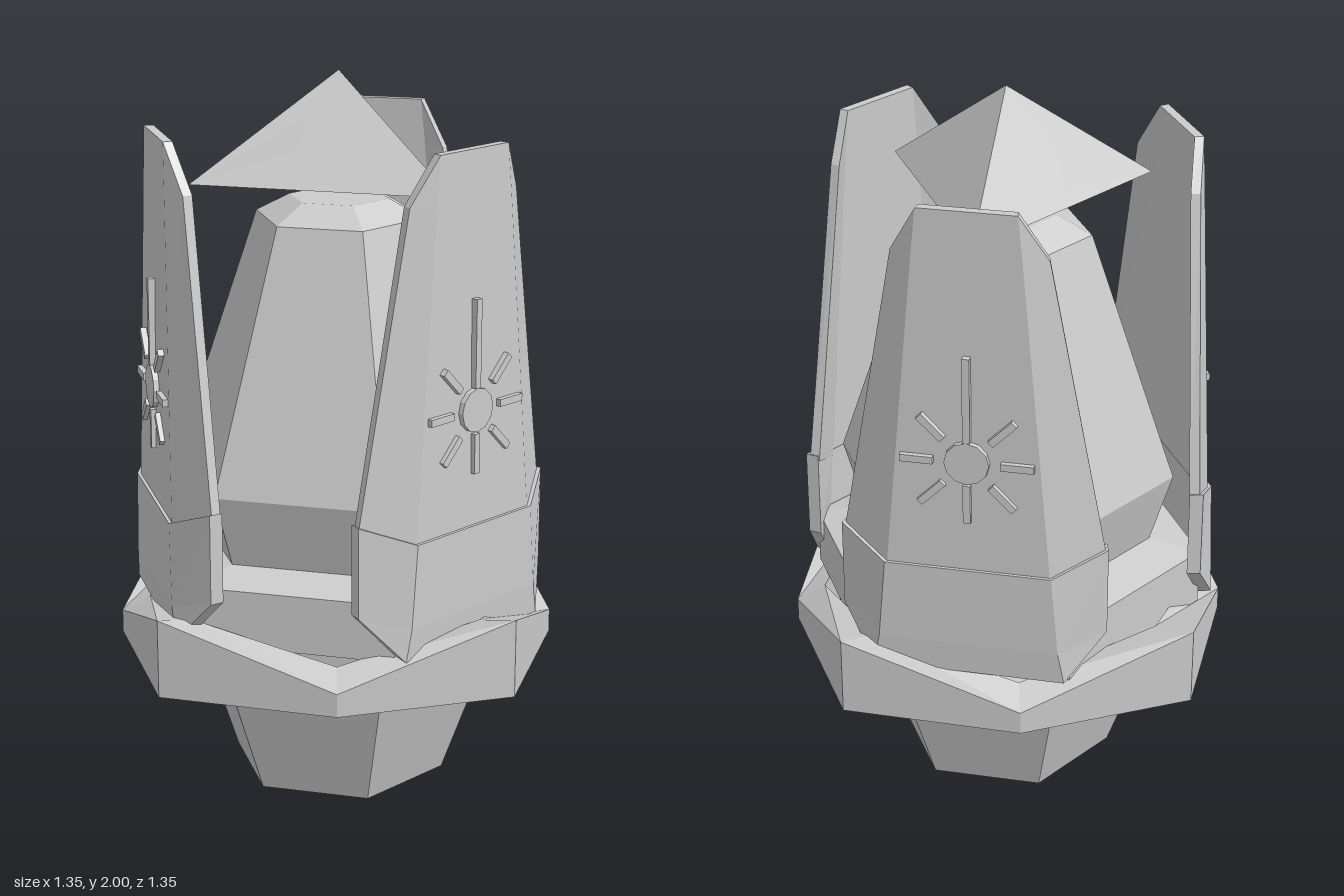
import * as THREE from 'three';

const mat = new THREE.MeshStandardMaterial({ color: 0xcccccc, flatShading: true });
const openMat = new THREE.MeshStandardMaterial({ color: 0xcccccc, flatShading: true, side: THREE.DoubleSide });

function add(parent, name, geometry, material = mat) {
  const mesh = new THREE.Mesh(geometry, material);
  mesh.name = name;
  parent.add(mesh);
  return mesh;
}

// Six-sided turned solid, profile listed bottom to top as [radius, y]
function hexSolid(profile) {
  const pts = profile.map(([r, y]) => new THREE.Vector2(r, y));
  return new THREE.LatheGeometry(pts, 6, Math.PI / 6);
}

// Skin over equal-length closed loops; 'around' joins the last loop to the first
function loft(loops, around) {
  const n = loops[0].length, pos = [];
  const quad = (a, b, c, d) => pos.push(...a, ...b, ...c, ...a, ...c, ...d);
  const spans = around ? loops.length : loops.length - 1;
  for (let i = 0; i < spans; i++) {
    const A = loops[i], B = loops[(i + 1) % loops.length];
    for (let j = 0; j < n; j++) {
      const k = (j + 1) % n;
      quad(A[j], A[k], B[k], B[j]);
    }
  }
  if (!around) {
    const first = loops[0], last = loops[loops.length - 1];
    for (let k = 0; k < n / 2 - 1; k++) {
      quad(last[k], last[k + 1], last[n - 2 - k], last[n - 1 - k]);
      quad(first[n - 1 - k], first[n - 2 - k], first[k + 1], first[k]);
    }
  }
  const g = new THREE.BufferGeometry();
  g.setAttribute('position', new THREE.Float32BufferAttribute(pos, 3));
  g.computeVertexNormals();
  return g;
}

// Folded plate: each row gives the outer edge and the fold on the +x half
function foldedPlate(rows, thickness) {
  const flip = ([x, y, z]) => [-x, y, z];
  const inner = ([x, y, z]) => [x * 0.97, y, z - thickness];
  return loft(rows.map(([edge, fold]) => {
    const outer = [flip(edge), flip(fold), fold, edge];
    return [...outer, ...outer.map(inner).reverse()];
  }), false);
}

// Armour panel facing +z, with thicker cuff and sunburst relief
function makePanel() {
  const panel = new THREE.Group();
  add(panel, 'panelPlate', foldedPlate([
    [[0.355, 0.88, 0.435], [0.222, 0.82, 0.515]],
    [[0.353, 0.9, 0.435], [0.22, 0.84, 0.515]],
    [[0.205, 1.72, 0.465], [0.143, 1.72, 0.502]],
    [[0.13, 1.85, 0.5], [0.13, 1.85, 0.5]],
  ], 0.026));
  add(panel, 'panelCuff', foldedPlate([
    [[0.262, 0.52, 0.52], [0.262, 0.52, 0.52]],
    [[0.363, 0.65, 0.442], [0.245, 0.61, 0.524]],
    [[0.363, 0.9, 0.442], [0.225, 0.84, 0.524]],
  ], 0.036));

  const relief = new THREE.Group();
  relief.name = 'sunburstRelief';
  relief.position.set(0, 1.16, 0.512);
  panel.add(relief);
  add(relief, 'sunDisc', new THREE.CylinderGeometry(0.06, 0.06, 0.026, 12).rotateX(Math.PI / 2));
  for (let i = 0; i < 8; i++) {
    const [start, end] = i === 0 ? [0.06, 0.3] : i === 4 ? [0.065, 0.175] : [0.09, 0.178];
    const ray = add(relief, 'sunRay', new THREE.BoxGeometry(0.02, end - start, 0.026).translate(0, (start + end) / 2, 0));
    ray.rotation.z = (i * Math.PI) / 4;
  }
  return panel;
}

// One sloping side of the three-sided cap with an octagonal pit, facing +z
function makeCapSide() {
  const side = new THREE.Group();
  const depth = 0.207, half = depth * Math.sqrt(3), holeZ = 0.11, holeR = 0.072, floorY = 1.735;
  const slopeY = (z) => 2 - (0.29 * z) / depth;
  const ring = [];
  for (let i = 0; i < 8; i++) {
    const a = ((i + 0.5) * Math.PI) / 4;
    ring.push([Math.cos(a) * holeR, holeZ + Math.sin(a) * holeR]);
  }

  // Sloped face, drawn in plan with z as -y and then raised to the slope
  const shape = new THREE.Shape([[0, 0], [-half, -depth], [half, -depth]].map((p) => new THREE.Vector2(...p)));
  shape.holes.push(new THREE.Path(ring.map(([x, z]) => new THREE.Vector2(x, -z))));
  const face = new THREE.ShapeGeometry(shape).rotateX(-Math.PI / 2);
  const p = face.attributes.position;
  for (let i = 0; i < p.count; i++) p.setY(i, slopeY(p.getZ(i)));
  face.computeVertexNormals();
  add(side, 'capFace', face);

  // Pit wall and floor
  const top = ring.map(([x, z]) => [x, slopeY(z), z]);
  const low = ring.map(([x, z]) => [x, floorY, z]);
  const centre = ring.map(() => [0, floorY, holeZ]);
  const pit = loft([top, low, centre, centre], false);
  add(side, 'capPit', pit, openMat);
  return side;
}

export function createModel() {
  const model = new THREE.Group();
  model.name = 'armouredLantern';

  // Hexagonal foot, neck, tray and tapering core
  const body = new THREE.Group();
  body.name = 'body';
  body.position.x = 0.012;
  model.add(body);
  add(body, 'foot', hexSolid([[0, 0], [0.305, 0], [0.415, 0.31], [0.345, 0.36], [0, 0.36]]));
  add(body, 'neck', hexSolid([[0.315, 0.35], [0.315, 0.52]]));
  add(body, 'tray', hexSolid([[0, 0.51], [0.556, 0.51], [0.556, 0.67], [0.4, 0.7], [0, 0.7]]));
  add(body, 'core', hexSolid([[0, 0.69], [0.41, 0.69], [0.474, 0.9], [0.235, 1.605], [0.14, 1.655], [0, 1.655]]));

  // Eight-sided crown ring with alternating peaks and dips
  const sections = [];
  for (let i = 0; i < 8; i++) {
    const a = (i * Math.PI) / 4, peak = i % 2 === 0;
    const at = (r, y) => [Math.sin(a) * r, y, Math.cos(a) * r];
    const [ro, ri] = peak ? [0.673, 0.542] : [0.61, 0.53];
    sections.push([at(ro, peak ? 0.61 : 0.455), at(ro, 0.39), at(ri, 0.39), at(ri, peak ? 0.575 : 0.5)]);
  }
  add(model, 'crownRing', loft(sections, true));

  // Three armour panels
  for (let i = 0; i < 3; i++) {
    const panel = makePanel();
    panel.name = ['frontPanel', 'leftPanel', 'rightPanel'][i];
    panel.rotation.y = (i * 2 * Math.PI) / 3;
    model.add(panel);
  }

  // Floating three-sided cap
  const cap = new THREE.Group();
  cap.name = 'cap';
  cap.position.z = 0.01;
  model.add(cap);
  for (let i = 0; i < 3; i++) {
    const side = makeCapSide();
    side.name = ['backCapSide', 'rightCapSide', 'leftCapSide'][i];
    side.rotation.y = Math.PI + (i * 2 * Math.PI) / 3;
    cap.add(side);
  }
  const underside = new THREE.CircleGeometry(0.414, 3).rotateX(Math.PI / 2).rotateY(-Math.PI / 2);
  add(cap, 'capUnderside', underside.translate(0, 1.71, 0));

  return model;
}
